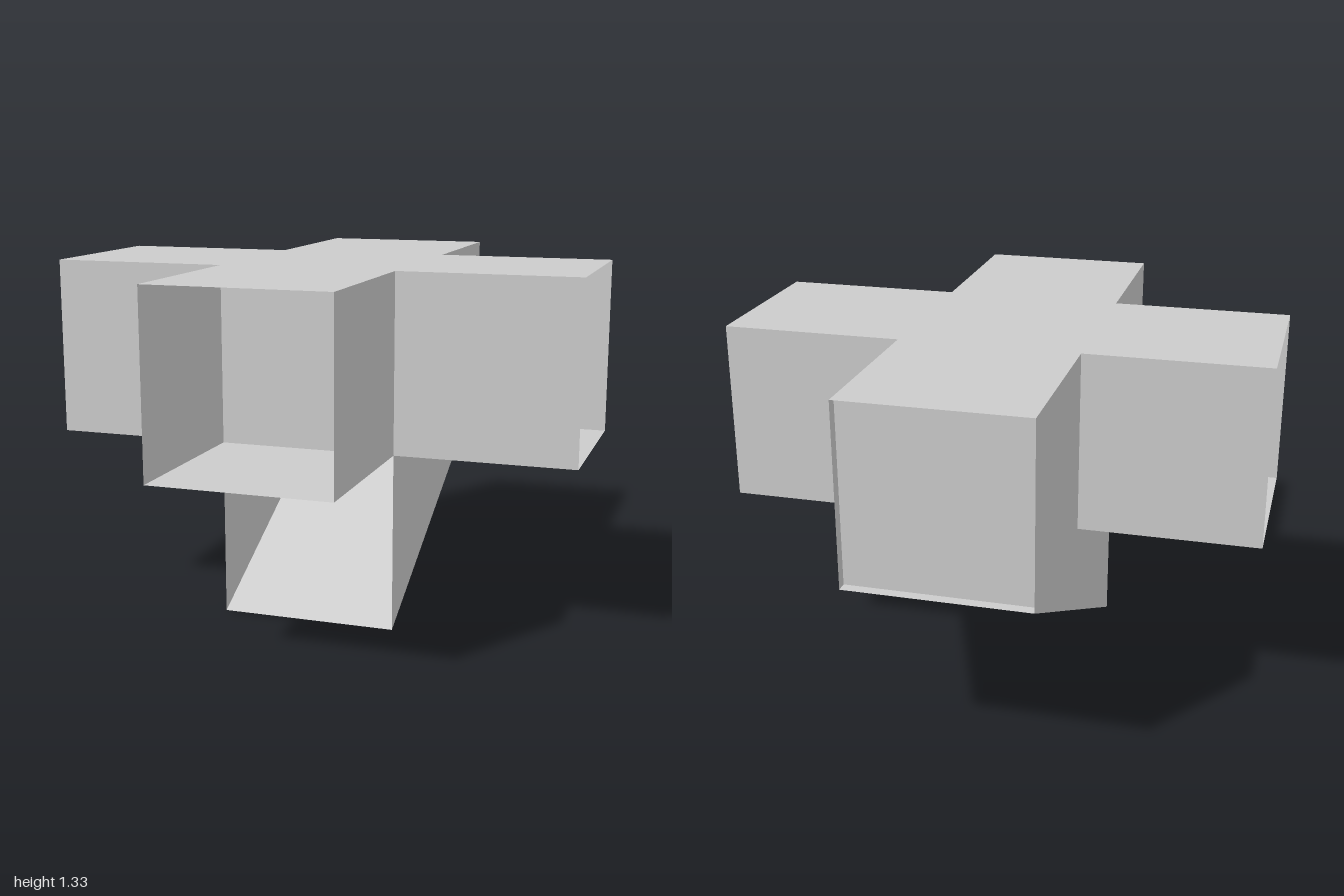
import * as THREE from 'three';

const T = 1 / 3;          // half width of every arm
const LOW = 2 / 3;        // floor height
const HIGH = 4 / 3;       // roof height
const MID = (LOW + HIGH) / 2;

const material = new THREE.MeshStandardMaterial({
  color: 0xcccccc, flatShading: true, side: THREE.DoubleSide,
});

function addPart(parent, name, geometry) {
  const mesh = new THREE.Mesh(geometry, material);
  mesh.name = name;
  parent.add(mesh);
  return mesh;
}

const outline = (points) => new THREE.Shape(points.map(([x, y]) => new THREE.Vector2(x, y)));

// One arm pointing to +z: two side walls and an end panel set back in the mouth
function createArm(name, panelZ) {
  const arm = new THREE.Group();
  arm.name = name;
  for (const side of [-1, 1]) {
    const wall = new THREE.PlaneGeometry(2 * T, HIGH - LOW);
    wall.rotateY(side * Math.PI / 2).translate(side * T, MID, 2 * T);
    addPart(arm, 'sideWall', wall);
  }
  const panel = new THREE.PlaneGeometry(2 * T, HIGH - LOW);
  addPart(arm, 'endPanel', panel.translate(0, MID, panelZ));
  return arm;
}

export function createModel() {
  const model = new THREE.Group();
  model.name = 'crossDuct';

  // Cross-shaped roof and floor sheets
  const cross = outline([
    [-T, -1], [T, -1], [T, -T], [1, -T], [1, T], [T, T],
    [T, 1], [-T, 1], [-T, T], [-1, T], [-1, -T], [-T, -T],
  ]);
  for (const [name, y, turn] of [['roof', HIGH, -1], ['floor', LOW, 1]]) {
    const sheet = new THREE.ShapeGeometry(cross);
    addPart(model, name, sheet.rotateX(turn * Math.PI / 2).translate(0, y, 0));
  }

  // Four arms; only the back one is closed close to its mouth
  const arms = [['frontArm', T], ['leftArm', T], ['backArm', 0.96], ['rightArm', T]];
  arms.forEach(([name, panelZ], i) => {
    const arm = createArm(name, panelZ);
    arm.rotation.y = i * Math.PI / 2;
    model.add(arm);
  });

  // Chute below: triangular sides and a sloping bottom, open to the front
  const chute = new THREE.Group();
  chute.name = 'chute';
  const triangle = outline([[-T, 0], [1, LOW], [-T, LOW]]);
  for (const side of [-1, 1]) {
    const cheek = new THREE.ShapeGeometry(triangle);
    addPart(chute, 'chuteSide', cheek.rotateY(Math.PI / 2).translate(side * T, 0, 0));
  }
  const ramp = new THREE.PlaneGeometry(2 * T, Math.hypot(1 + T, LOW));
  ramp.rotateX(Math.atan2(-(1 + T), LOW)).translate(0, LOW / 2, -T);
  addPart(chute, 'ramp', ramp);
  model.add(chute);

  return model;
}
